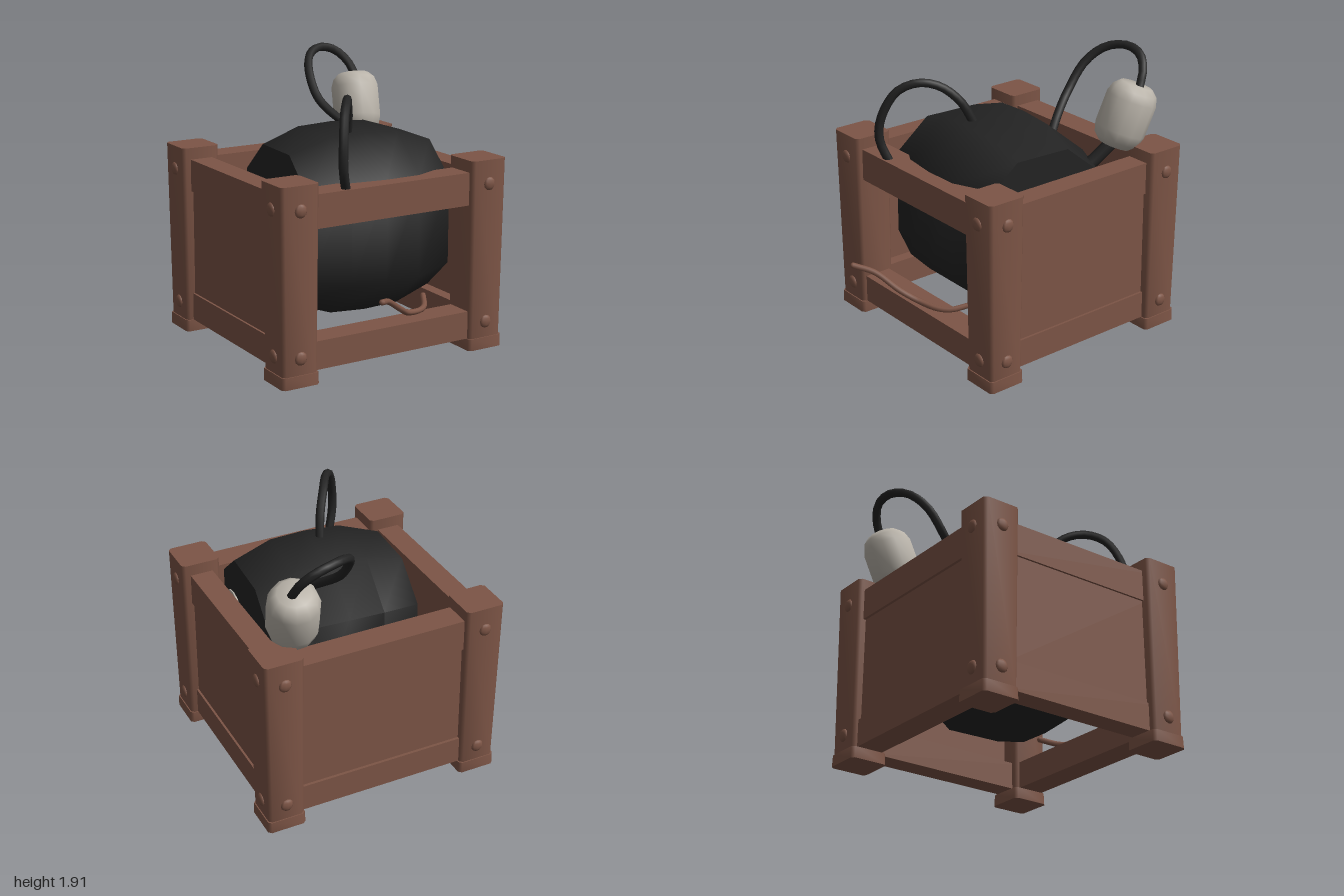
import * as THREE from 'three';
import { toCreasedNormals } from 'three/addons/utils/BufferGeometryUtils.js';

const mat = (name, color) => Object.assign(new THREE.MeshStandardMaterial({ color }), { name });

// Square prism with cut corners, standing on y = 0
function prism(w, cut, h, topScale) {
  const r = w / 2, c = r - cut;
  const pts = [[r, -c], [r, c], [c, r], [-c, r], [-r, c], [-r, -c], [-c, -r], [c, -r]];
  const shape = new THREE.Shape(pts.map(p => new THREE.Vector2(...p)));
  const g = new THREE.ExtrudeGeometry(shape, { depth: h, bevelEnabled: false });
  g.rotateX(-Math.PI / 2);
  const p = g.attributes.position;
  for (let i = 0; i < p.count; i++) {
    const s = 1 + (topScale - 1) * p.getY(i) / h;
    p.setX(i, p.getX(i) * s);
    p.setZ(i, p.getZ(i) * s);
  }
  return toCreasedNormals(g, 0.9);
}

// Octagonal body lofted along x
function sackGeometry() {
  const section = [[0.595, -0.23], [0.595, 0.24], [0.34, 0.54], [-0.34, 0.54],
    [-0.595, 0.24], [-0.595, -0.23], [-0.34, -0.54], [0.34, -0.54]];
  const stations = [[-0.53, 0.84], [-0.25, 0.99], [0, 1.01], [0.25, 0.99], [0.52, 0.85]];
  const pos = [], idx = [], n = section.length;
  for (const [x, s] of stations) for (const [y, z] of section) pos.push(x, y * s, z * s);
  for (let s = 0; s < stations.length - 1; s++) {
    for (let i = 0; i < n; i++) {
      const a = s * n + i, b = s * n + (i + 1) % n;
      idx.push(a, b, a + n, b, b + n, a + n);
    }
  }
  const last = (stations.length - 1) * n;
  for (let i = 1; i < n - 1; i++) {
    idx.push(0, i + 1, i);
    idx.push(last, last + i, last + i + 1);
  }
  const g = new THREE.BufferGeometry();
  g.setAttribute('position', new THREE.Float32BufferAttribute(pos, 3));
  g.setIndex(idx);
  return toCreasedNormals(g, 0.9);
}

export function createModel() {
  const model = new THREE.Group();
  const wood = mat('brown wood', 0x7d5546);
  const black = mat('black', 0x232323);
  const grey = mat('pale grey', 0xbab4aa);

  const add = (parent, name, geo, material, x = 0, y = 0, z = 0) => {
    const m = new THREE.Mesh(geo, material);
    m.name = name;
    m.position.set(x, y, z);
    parent.add(m);
    return m;
  };
  const tube = (name, pts, r, material) => {
    const curve = new THREE.CatmullRomCurve3(pts.map(p => new THREE.Vector3(...p)));
    add(model, name, new THREE.TubeGeometry(curve, 24, r, 8), material);
    // Close both ends
    for (const t of [0, 1]) {
      const p = curve.getPointAt(t);
      add(model, name + 'End', new THREE.SphereGeometry(r, 8, 6), material, p.x, p.y, p.z);
    }
  };

  // Crate frame, turned a little about y
  const crate = new THREE.Group();
  crate.name = 'crate';
  crate.rotation.y = -0.23;
  crate.position.set(0.005, 0, -0.005);
  model.add(crate);
  const PX = 0.715, PZ = 0.675;
  const postGeo = prism(0.25, 0.02, 1.24, 1.09);
  const footGeo = prism(0.27, 0.02, 0.08, 0.98);
  const boltGeo = new THREE.SphereGeometry(0.045, 8, 6);
  for (const sx of [-1, 1]) {
    for (const sz of [-1, 1]) {
      add(crate, 'post', postGeo, wood, sx * PX, 0.06, sz * PZ);
      add(crate, 'foot', footGeo, wood, sx * PX, 0, sz * PZ);
      // Bolts on the two outer faces
      for (const [y, r] of [[0.19, 0.126], [1.14, 0.134]]) {
        add(crate, 'bolt', boltGeo, wood, sx * PX, y, sz * (PZ + r)).scale.z = 0.45;
        add(crate, 'bolt', boltGeo, wood, sx * (PX + r), y, sz * PZ).scale.x = 0.45;
      }
    }
  }

  // Rails on all four sides
  for (const [y, h] of [[0.175, 0.19], [1.11, 0.22]]) {
    for (const s of [-1, 1]) {
      add(crate, 'crossRail', new THREE.BoxGeometry(2 * PX - 0.1, h, 0.19), wood, 0, y, s * PZ);
      add(crate, 'sideRail', new THREE.BoxGeometry(0.16, h, 2 * PZ - 0.1), wood, s * PX, y, 0);
    }
  }

  // Panels on the sides and back; the front is open
  for (const s of [-1, 1]) {
    add(crate, 'sidePanel', new THREE.BoxGeometry(0.06, 0.8, 2 * PZ - 0.1), wood, s * (PX + 0.035), 0.64, 0);
  }
  add(crate, 'backPanel', new THREE.BoxGeometry(2 * PX - 0.1, 0.8, 0.06), wood, 0, 0.64, -PZ - 0.045);

  // Black body hanging in the crate
  const body = new THREE.Group();
  body.name = 'body';
  body.position.set(0.02, 0.87, 0.12);
  body.rotation.y = -0.29;
  model.add(body);
  add(body, 'sack', sackGeometry(), black);
  const disc = add(body, 'endDisc', new THREE.CylinderGeometry(0.19, 0.19, 0.04, 16), grey, 0.51, 0.05, 0.23);
  disc.rotation.z = Math.PI / 2;

  // Hoses
  tube('frontHose', [[-0.07, 1.4, 0.21], [-0.14, 1.6, 0.29], [-0.24, 1.71, 0.38], [-0.34, 1.74, 0.48],
    [-0.45, 1.68, 0.57], [-0.53, 1.5, 0.64], [-0.54, 1.35, 0.65], [-0.47, 1.16, 0.61]], 0.03, black);
  tube('backHose', [[0.33, 1.36, -0.07], [0.28, 1.44, -0.2], [0.24, 1.57, -0.38], [0.28, 1.75, -0.52],
    [0.38, 1.85, -0.61], [0.52, 1.88, -0.65], [0.64, 1.85, -0.63], [0.71, 1.77, -0.57], [0.73, 1.66, -0.5]],
  0.03, black);
  tube('floatStem', [[0.48, 1.1, -0.14], [0.54, 1.17, -0.23], [0.64, 1.32, -0.36]], 0.045, black);

  // Pale float with rounded ends
  const profile = [[0, -0.22], [0.11, -0.22], [0.152, -0.18], [0.172, -0.11],
    [0.172, 0.11], [0.152, 0.17], [0.11, 0.21], [0, 0.21]];
  const floatGeo = new THREE.LatheGeometry(profile.map(p => new THREE.Vector2(...p)), 12);
  const float = add(model, 'float', toCreasedNormals(floatGeo, 0.9), grey, 0.67, 1.485, -0.44);
  float.quaternion.setFromUnitVectors(
    new THREE.Vector3(0, 1, 0), new THREE.Vector3(0.09, 0.45, -0.15).normalize());

  // Loose cord at the front
  tube('cord', [[-0.52, 0.56, 0.97], [-0.39, 0.52, 0.9], [-0.22, 0.42, 0.85], [-0.1, 0.36, 0.8],
    [0.03, 0.34, 0.78], [0.12, 0.34, 0.74], [0.22, 0.37, 0.64]], 0.02, wood);

  return model;
}
